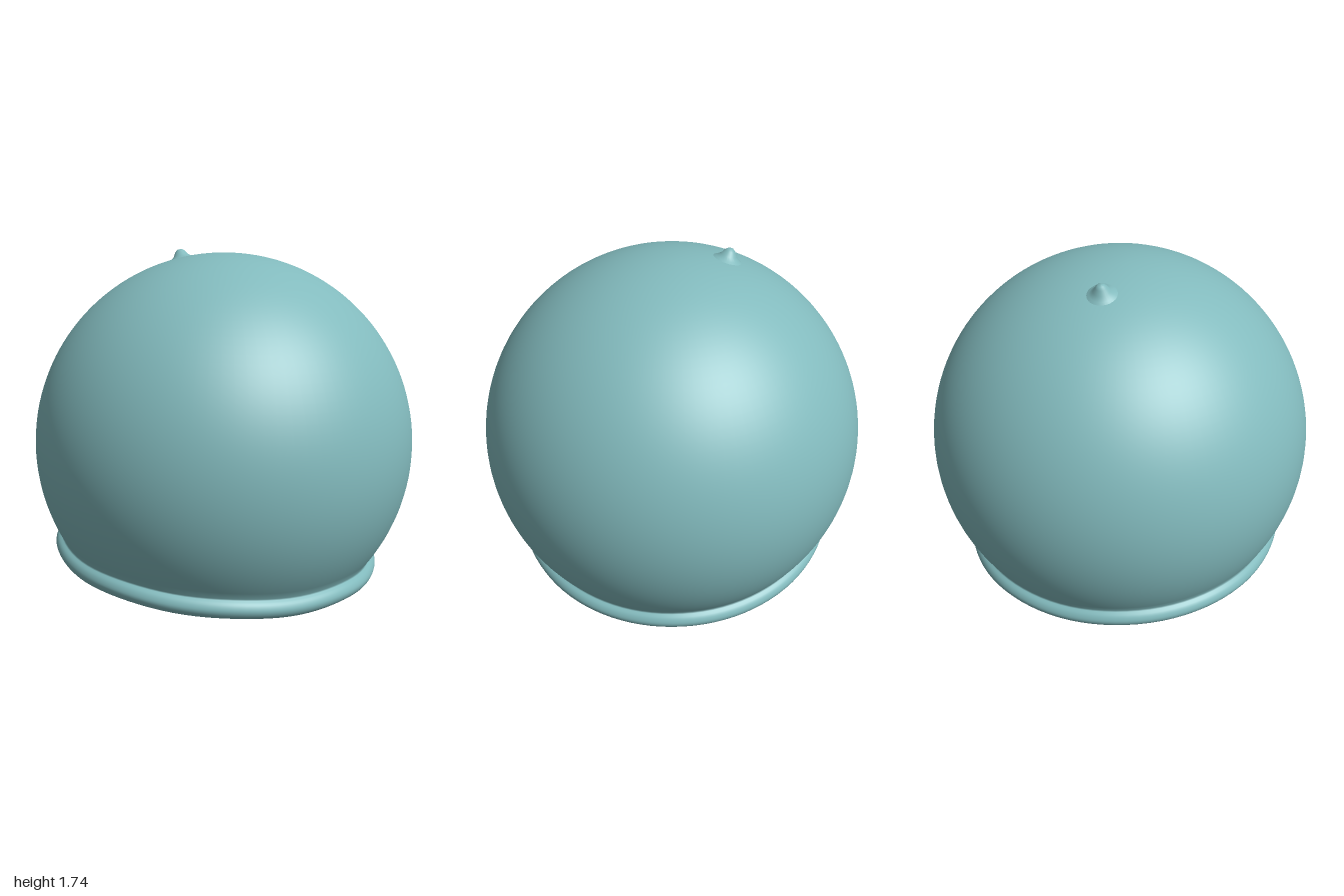
import * as THREE from 'three';
import { mergeVertices } from 'three/addons/utils/BufferGeometryUtils.js';

const CENTER_Y = 0.74, SEGMENTS = 96, DOME_ROWS = 48, LIP_ROWS = 48, BASE = 0.205;

// Lip and underside profile: [radial offset, height offset] from the crease under the dome.
const lipCurve = new THREE.CatmullRomCurve3([
  [0, 0], [0.025, -0.02], [0.036, -0.05], [0.02, -0.085], [-0.04, -0.115], [-0.12, -0.135],
  [-0.22, -0.14], [-0.3, -0.125], [-0.36, -0.08], [-0.43, 0.01], [-0.54, 0.12], [-0.7, 0.2], [-0.86, 0.225],
].map(([r, y]) => new THREE.Vector3(r, y, 0)), false, 'centripetal');

// Round body whose lower lip lies on a tilted plane.
function bodyGeometry() {
  const positions = [], index = [];
  const lip = lipCurve.getPoints(LIP_ROWS);
  const rows = DOME_ROWS + LIP_ROWS + 1;
  for (let j = 0; j < SEGMENTS; j++) {
    const a = (j / SEGMENTS) * Math.PI * 2, s = Math.sin(a), c = Math.cos(a);
    const wave = 0.004 * Math.sin(5 * a) + 0.003 * Math.sin(9 * a + 1);
    const tilt = -0.043 * s + 0.05 * c + wave;
    const creaseY = BASE + tilt;
    const end = Math.acos(creaseY - CENTER_Y);
    const creaseR = Math.sin(end);
    for (let i = 0; i < rows; i++) {
      let r, y;
      if (i <= DOME_ROWS) {
        const phi = (end * i) / DOME_ROWS;
        r = Math.sin(phi);
        y = CENTER_Y + Math.cos(phi);
      } else {
        const p = lip[i - DOME_ROWS];
        r = p.x > 0 ? creaseR + p.x : creaseR * (1 + p.x / 0.86);
        y = BASE + p.y + tilt * Math.min(1, r / creaseR);
      }
      positions.push(r * s, Math.max(0, y), r * c);
    }
  }
  for (let j = 0; j < SEGMENTS; j++) {
    for (let i = 0; i < rows - 1; i++) {
      const p = j * rows + i, q = ((j + 1) % SEGMENTS) * rows + i;
      index.push(p, p + 1, q + 1, p, q + 1, q);
    }
  }
  let geometry = new THREE.BufferGeometry();
  geometry.setAttribute('position', new THREE.Float32BufferAttribute(positions, 3));
  geometry.setIndex(index);
  geometry = mergeVertices(geometry, 1e-5);
  geometry.computeVertexNormals();
  return geometry;
}

export function createModel() {
  const group = new THREE.Group();
  const teal = new THREE.MeshStandardMaterial({ color: 0x82babd });
  teal.name = 'soft teal';

  const body = new THREE.Mesh(bodyGeometry(), teal);
  body.name = 'body';
  group.add(body);

  // Small pinched nub on the upper right of the dome
  const profile = [[0.09, -0.012], [0.06, 0.004], [0.04, 0.02], [0.027, 0.042], [0.014, 0.053], [0, 0.055]]
    .map(([r, y]) => new THREE.Vector2(r, y));
  const nub = new THREE.Mesh(new THREE.LatheGeometry(profile, 24), teal);
  nub.name = 'nub';
  const lean = Math.asin(0.29);
  nub.position.set(-Math.sin(lean), CENTER_Y + Math.cos(lean), 0);
  nub.rotation.z = lean;
  group.add(nub);

  return group;
}
